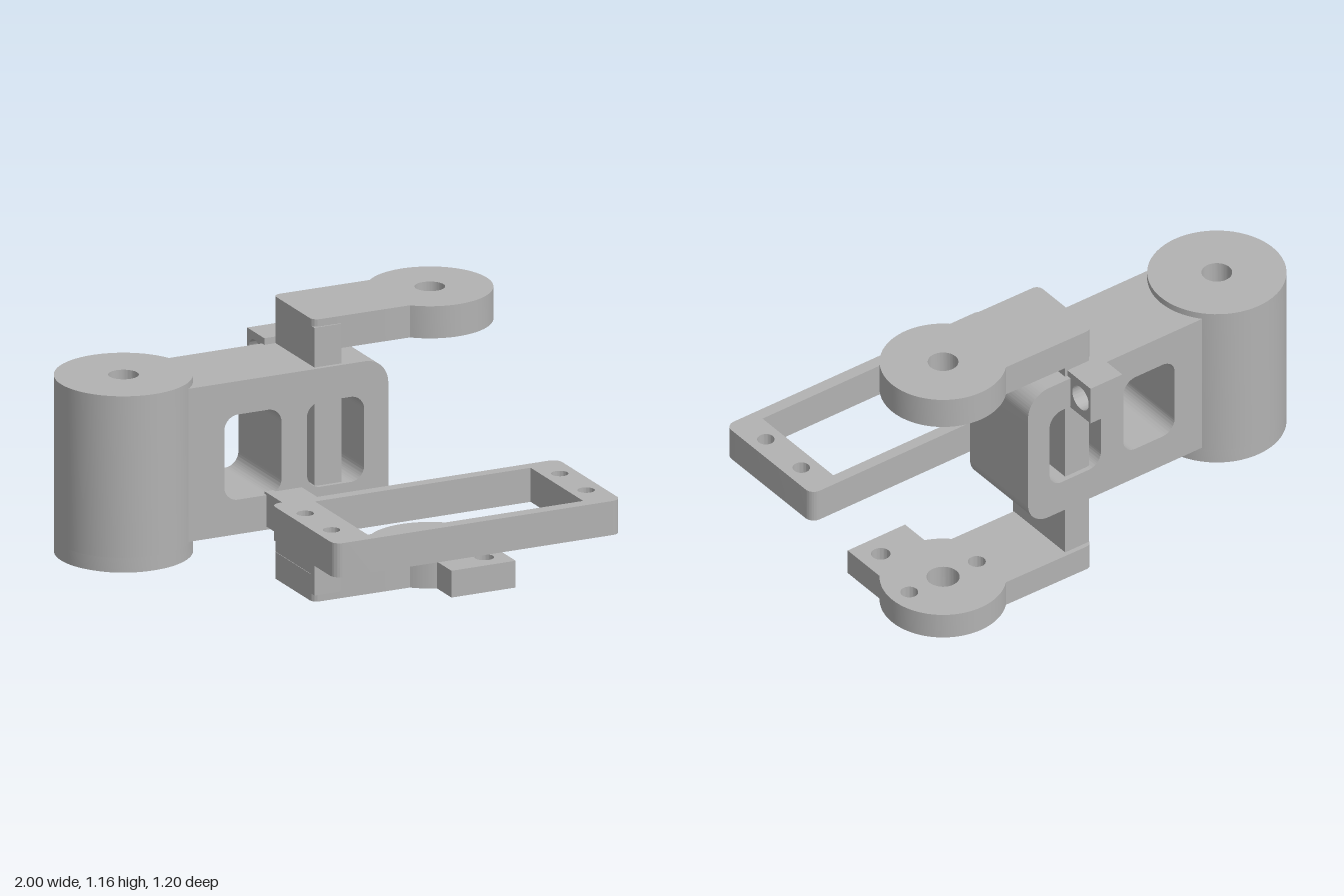
import * as THREE from 'three';
import { toCreasedNormals } from 'three/addons/utils/BufferGeometryUtils.js';

const grey = new THREE.MeshStandardMaterial({ color: 0xb2b2b2 });
grey.name = 'plain grey';

// Rectangle outline; r gives corner radii [left-low, right-low, right-high, left-high]
function roundRect(path, x0, y0, x1, y1, r) {
  const [a, b, c, d] = Array.isArray(r) ? r : [r, r, r, r];
  const H = Math.PI / 2;
  path.moveTo(x0 + a, y0);
  path.lineTo(x1 - b, y0);
  if (b) path.absarc(x1 - b, y0 + b, b, -H, 0);
  path.lineTo(x1, y1 - c);
  if (c) path.absarc(x1 - c, y1 - c, c, 0, H);
  path.lineTo(x0 + d, y1);
  if (d) path.absarc(x0 + d, y1 - d, d, H, 2 * H);
  path.lineTo(x0, y0 + a);
  if (a) path.absarc(x0 + a, y0 + a, a, 2 * H, 3 * H);
  return path;
}

const circle = (T, x, y, r) => new T().absarc(x, y, r, 0, Math.PI * 2);
const hole = (x, y, r) => circle(THREE.Path, x, y, r);

function extrude(shape, depth, holes = []) {
  shape.holes.push(...holes);
  return new THREE.ExtrudeGeometry(shape, { depth, bevelEnabled: false, curveSegments: 32 });
}

// Extrude upwards: shape is drawn in (x, -z)
const upright = (shape, y0, y1, holes) =>
  extrude(shape, y1 - y0, holes).rotateX(-Math.PI / 2).translate(0, y0, 0);

export function createModel() {
  const group = new THREE.Group();
  const add = (name, geo) => {
    const mesh = new THREE.Mesh(toCreasedNormals(geo, 0.5), grey);
    mesh.name = name;
    group.add(mesh);
  };

  // Pivot barrel with a through bore and two blind screw holes underneath
  const bx = -0.73, bv = 0.297;
  const bore = () => hole(bx, bv, 0.06);
  const screws = () => [-0.165, 0.165].map((d) => hole(bx + d, bv, 0.035));
  const barrel = (r) => circle(THREE.Shape, bx, bv, r);
  add('barrelFoot', upright(barrel(0.25), 0.262, 0.27, [bore(), ...screws()]));
  add('barrelBase', upright(barrel(0.272), 0.27, 0.33, [bore(), ...screws()]));
  add('barrelBody', upright(barrel(0.272), 0.33, 0.994, [bore()]));

  // Arm block with two windows
  const arm = roundRect(new THREE.Shape(), -0.55, 0.338, 0.325, 0.967, [0, 0.1, 0.1, 0]);
  const windows = [-0.39, -0.03].map((x) => roundRect(new THREE.Path(), x, 0.48, x + 0.25, 0.83, 0.06));
  add('arm', extrude(arm, 0.378, windows).translate(0, 0, -0.475));

  // Bracket: upright bar between two round-ended plates
  add('bracketBar', new THREE.BoxGeometry(0.117, 1.1, 0.34).translate(0.0705, 0.58, -0.285));
  const cx = 0.605, cv = 0.295, R = 0.248, PI = Math.PI;
  const plate = (tab) => {
    const s = new THREE.Shape();
    const join = 0.79;
    s.moveTo(0.04, 0.122);
    if (tab) {
      s.absarc(cx, cv, R, PI + join, Math.atan2(-0.233, -0.085) + 2 * PI);
      s.lineTo(0.52, -0.065);
      s.lineTo(0.80, -0.065);
      s.absarc(cx, cv, R, Math.atan2(-0.153, 0.195), PI - join);
    } else {
      s.absarc(cx, cv, R, PI + join, 3 * PI - join);
    }
    s.lineTo(0.04, 0.475);
    s.absarc(0.04, 0.445, 0.03, PI / 2, PI);
    s.lineTo(0.01, 0.152);
    s.absarc(0.04, 0.152, 0.03, PI, 1.5 * PI);
    return s;
  };
  add('upperPlate', upright(plate(false), 1.028, 1.16, [hole(cx, cv, 0.06)]));
  add('lowerPlate', upright(plate(true), 0, 0.11, [
    hole(cx, cv, 0.065), hole(cx - 0.165, cv, 0.035), hole(cx + 0.165, cv, 0.035), hole(0.71, 0.03, 0.038),
  ]));

  // Rectangular mounting frame with four screw holes, and its link to the arm
  const frameHoles = [roundRect(new THREE.Path(), -0.085, -0.545, 0.855, -0.085, 0)];
  for (const x of [-0.185, 0.925]) for (const v of [-0.2, -0.43]) frameHoles.push(hole(x, v, 0.034));
  add('mountingFrame', upright(roundRect(new THREE.Shape(), -0.255, -0.597, 0.997, -0.037, 0.04), 0.35, 0.49, frameHoles));
  add('frameLink', new THREE.BoxGeometry(0.153, 0.14, 0.16).translate(-0.1285, 0.42, -0.035));

  // Cable lug on the back, pierced along x: drawn in (-z, y)
  const lug = roundRect(new THREE.Shape(), 0.455, 0.825, 0.605, 0.994, 0);
  add('cableLug', extrude(lug, 0.155, [hole(0.54, 0.91, 0.053)]).rotateY(PI / 2).translate(-0.037, 0, 0));

  return group;
}
